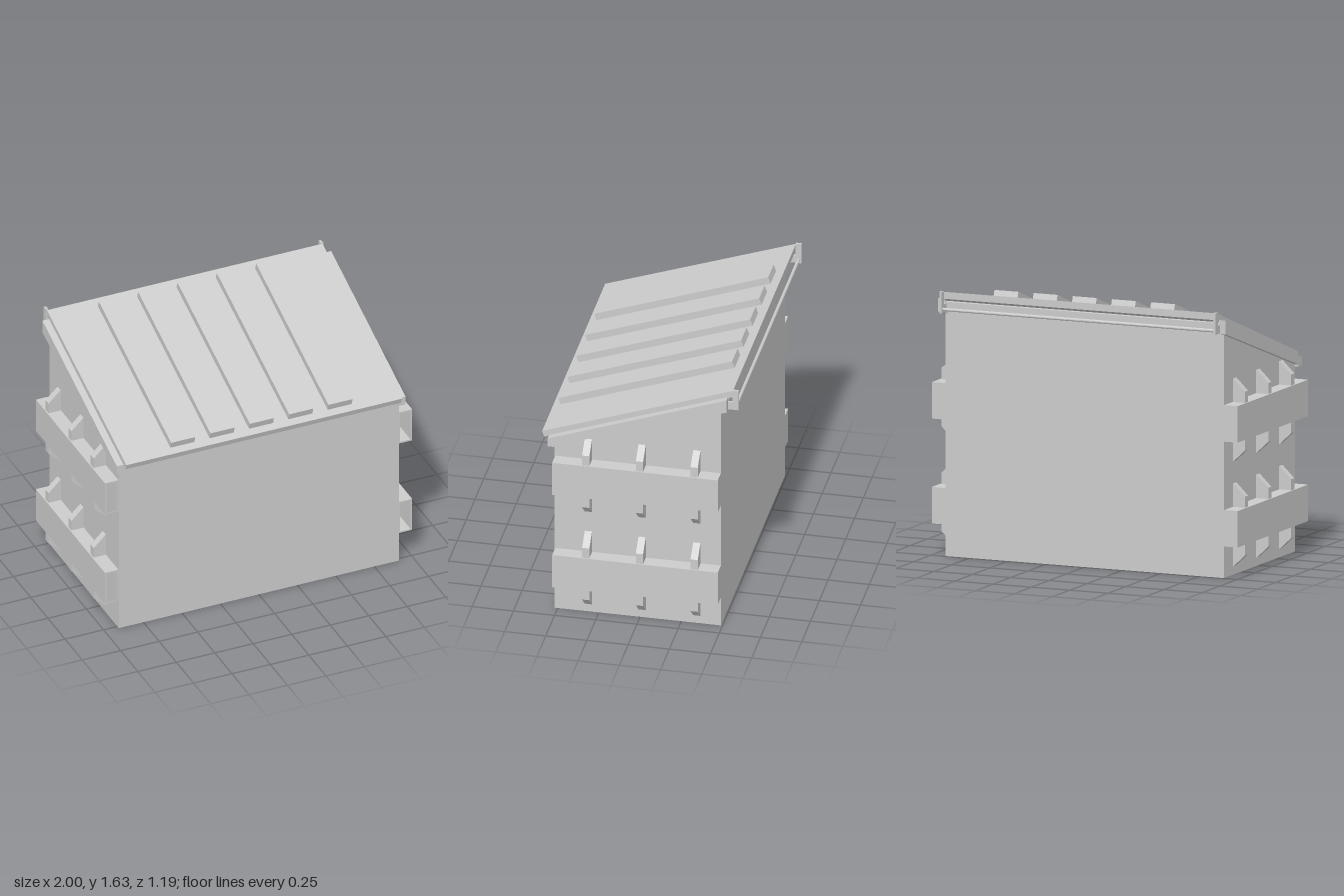
import * as THREE from 'three';

const material = new THREE.MeshStandardMaterial({ color: 0xcccccc, flatShading: true });

function add(parent, name, geometry, x = 0, y = 0, z = 0) {
  const mesh = new THREE.Mesh(geometry, material);
  mesh.name = name;
  mesh.position.set(x, y, z);
  parent.add(mesh);
  return mesh;
}

function makeShape(points) {
  return new THREE.Shape(points.map(([a, b]) => new THREE.Vector2(a, b)));
}

// Side profile given as (z, y), extruded across x and centred
function sideProfile(points, width) {
  const g = new THREE.ExtrudeGeometry(makeShape(points), { depth: width, bevelEnabled: false });
  return g.translate(0, 0, -width / 2).rotateY(-Math.PI / 2);
}

// Front profile given as (x, y), extruded along z and centred
function frontProfile(shape, depth) {
  const g = new THREE.ExtrudeGeometry(shape, { depth, bevelEnabled: false });
  return g.translate(0, 0, -depth / 2);
}

function rect(x0, x1, y0, y1) {
  return [[x0, y0], [x1, y0], [x1, y1], [x0, y1]];
}

// Box given by its bounds
function block(parent, name, x0, x1, y0, y1, z0, z1) {
  return add(parent, name, new THREE.BoxGeometry(x1 - x0, y1 - y0, z1 - z0),
    (x0 + x1) / 2, (y0 + y1) / 2, (z0 + z1) / 2);
}

export function createModel() {
  const model = new THREE.Group();
  model.name = 'wasteContainer';

  // Bin body with sloping top
  add(model, 'body', sideProfile([[0.52, 0], [0.52, 1.13], [-0.49, 1.47], [-0.49, 0]], 1.82));

  // Rim around the opening
  const rim = new THREE.Group();
  rim.name = 'rim';
  model.add(rim);
  block(rim, 'frontRail', -0.935, 0.935, 1.115, 1.168, 0.515, 0.555);
  block(rim, 'backRail', -0.935, 0.935, 1.475, 1.54, -0.53, -0.485);
  const railProfile = [[0.555, 1.115], [0.555, 1.17], [-0.53, 1.56], [-0.53, 1.477]];

  // Lid plate and its raised ribs
  const lid = new THREE.Group();
  lid.name = 'lid';
  model.add(lid);
  add(lid, 'lidPlate', sideProfile([[0.585, 1.155], [0.598, 1.192], [-0.56, 1.605], [-0.56, 1.563]], 1.79));
  const ribProfile = [[0.55, 1.2], [0.565, 1.25], [-0.49, 1.627], [-0.507, 1.58]];
  for (let i = -2; i <= 2; i++) {
    add(lid, 'lidRib', sideProfile(ribProfile, 0.156), i * 0.2555);
  }

  // Hinge rod along the back
  add(model, 'hingeRod', new THREE.CylinderGeometry(0.01, 0.01, 1.79, 12).rotateZ(Math.PI / 2), 0, 1.502, -0.577);
  const bracketProfile = [[-0.53, 1.48], [-0.53, 1.53], [-0.56, 1.53], [-0.56, 1.61], [-0.595, 1.61], [-0.595, 1.48]];

  for (const side of [-1, 1]) {
    const mirror = (points) => points.map(([x, y]) => [x * side, y]);

    add(rim, 'sideRail', sideProfile(railProfile, 0.045), side * 0.9155);
    add(model, 'hingeBracket', sideProfile(bracketProfile, 0.015), side * 0.893);

    // Lifting pockets, each with three gussets above and below
    for (const [y0, y1] of [[0.19, 0.41], [0.822, 1.042]]) {
      const pocket = new THREE.Group();
      pocket.name = 'forkPocket';
      model.add(pocket);
      const tube = makeShape(mirror(rect(0.909, 0.998, y0, y1)));
      tube.holes.push(makeShape(mirror(rect(0.92, 0.988, y0 + 0.01, y1 - 0.01))));
      add(pocket, 'pocketTube', frontProfile(tube, 1.005), 0, 0, 0.0125);
      block(pocket, 'pocketEnd', side * 0.953 - 0.035, side * 0.953 + 0.035, y0 + 0.008, y1 - 0.008, -0.49, -0.48);

      const upper = mirror([[0.909, y1], [0.99, y1], [0.99, y1 + 0.067], [0.915, y1 + 0.14], [0.909, y1 + 0.14]]);
      const lower = mirror([[0.909, y0], [0.99, y0], [0.99, y0 - 0.067], [0.915, y0 - 0.137], [0.909, y0 - 0.137]]);
      for (const z of [0.313, -0.013, -0.345]) {
        add(pocket, 'upperGusset', frontProfile(makeShape(upper), 0.044), 0, 0, z);
        add(pocket, 'lowerGusset', frontProfile(makeShape(lower), 0.044), 0, 0, z);
      }
    }
  }

  return model;
}
